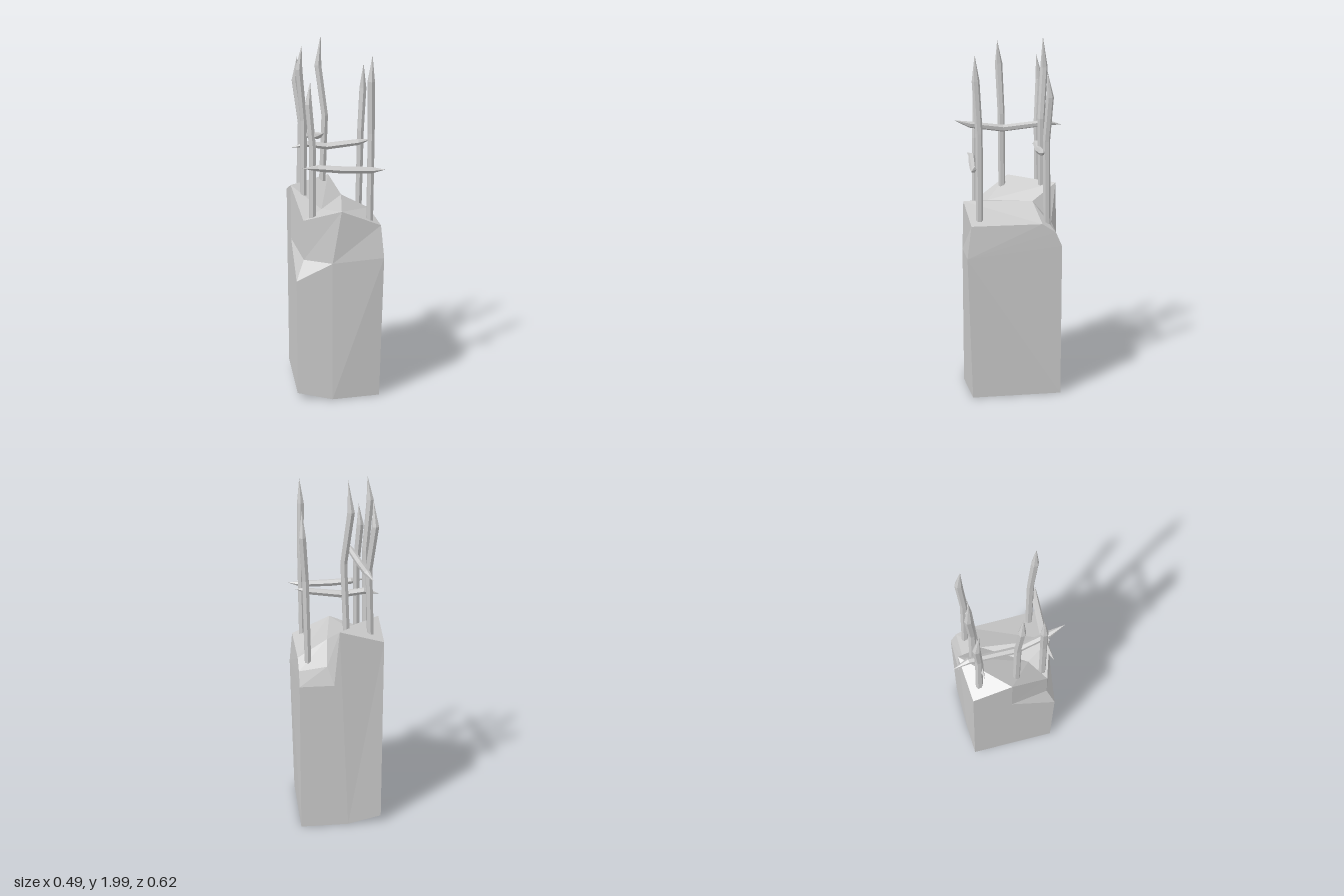
import * as THREE from 'three';

const material = new THREE.MeshStandardMaterial({ color: 0xcccccc, flatShading: true });

// Corners of the broken concrete pillar
const corners = {
  // base
  b0: [-0.245, 0.04, 0.25], b1: [-0.05, 0, 0.275], b2: [0.22, 0, 0.25],
  b3: [0.22, 0, -0.25], b4: [-0.05, 0, -0.25], b5: [-0.24, 0.04, -0.245],
  // shoulder and chipped front corner
  m0: [-0.245, 0.7, 0.25], m1: [-0.05, 0.8, 0.275], m2: [0.235, 0.82, 0.275],
  side: [-0.245, 0.87, -0.01], notch: [-0.2, 0.81, 0.21],
  // front half of the broken top
  t0: [-0.2, 1.03, 0.205], ridge: [0, 1.09, 0.272], tR: [0.22, 1, 0.25],
  valley: [-0.09, 1.07, 0.125], step: [0.055, 1.09, -0.11],
  // raised back corner
  peakBack: [0, 1.18, -0.25], backCorner: [-0.245, 1.105, -0.23], peakSide: [-0.245, 1.18, -0.01],
  // low ledge at the other back corner
  l0: [0.22, 1, -0.14], l1: [0.22, 0.95, -0.215], l2: [0.065, 0.97, -0.215],
  l3: [0.22, 0.87, -0.25], crack: [0.03, 0.87, -0.25],
};

// Each face is a polygon, cut into a fan from its first corner
const faces = [
  // front
  'b0 b1 m1 m0', 'b1 b2 m2 m1', 'm1 m2 tR ridge', 'm0 m1 notch', 'notch m1 ridge t0',
  // +x side
  'm2 b2 b3 l3 l1 l0 tR',
  // back
  'b3 b4 crack l3', 'b4 b5 backCorner peakBack', 'b4 peakBack crack', 'l3 crack l2 l1',
  // -x side and chip
  'side peakSide backCorner b5 b0 m0', 'side m0 notch', 'side notch t0 peakSide',
  // broken top
  'step l0 l1 l2', 'peakBack step l2 crack', 'backCorner peakSide peakBack',
  'peakSide t0 valley', 'peakSide valley peakBack', 'valley step peakBack',
  't0 ridge valley', 'valley ridge step', 'ridge tR l0 step',
  // underside
  'b0 b5 b4 b1', 'b1 b4 b3 b2',
];

function pillarGeometry() {
  const positions = [];
  for (const face of faces) {
    const p = face.split(' ').map((name) => corners[name]);
    for (let i = 1; i < p.length - 1; i++) positions.push(...p[0], ...p[i], ...p[i + 1]);
  }
  const geometry = new THREE.BufferGeometry();
  geometry.setAttribute('position', new THREE.Float32BufferAttribute(positions, 3));
  geometry.computeVertexNormals();
  return geometry;
}

// Bent six-sided bar through the points; listed radii give it pointed ends
function bar(name, points, radii) {
  const path = points.map((p) => new THREE.Vector3(...p));
  const n = path.length - 1;
  const axis = path[n].clone().sub(path[0]).normalize();
  const turn = new THREE.Quaternion().setFromUnitVectors(new THREE.Vector3(0, 1, 0), axis);
  const geometry = new THREE.CylinderGeometry(1, 1, 1, 6, n, true);
  const pos = geometry.attributes.position;
  const v = new THREE.Vector3();
  for (let i = 0; i < pos.count; i++) {
    const k = n - Math.floor(i / 7);
    v.fromBufferAttribute(pos, i).setY(0).multiplyScalar(radii[k]).applyQuaternion(turn).add(path[k]);
    pos.setXYZ(i, v.x, v.y, v.z);
  }
  geometry.computeVertexNormals();
  const mesh = new THREE.Mesh(geometry, material);
  mesh.name = name;
  return mesh;
}

export function createModel() {
  const group = new THREE.Group();
  group.name = 'brokenPillar';

  const pillar = new THREE.Mesh(pillarGeometry(), material);
  pillar.name = 'concretePillar';
  group.add(pillar);

  // Upright bars: foot, bend, start of the point, tip
  const uprights = [
    [[-0.18, 1.0, -0.18], [-0.165, 1.5, -0.17], [-0.195, 1.74, -0.185], [-0.185, 1.88, -0.165]],
    [[-0.05, 1.0, -0.18], [-0.03, 1.54, -0.17], [-0.065, 1.82, -0.19], [-0.05, 1.99, -0.18]],
    [[0.165, 0.9, -0.175], [0.175, 1.45, -0.165], [0.19, 1.69, -0.18], [0.19, 1.83, -0.165]],
    [[-0.18, 1.0, 0.03], [-0.175, 1.55, 0.035], [-0.2, 1.83, 0.045], [-0.185, 1.96, 0.055]],
    [[-0.15, 0.95, 0.19], [-0.145, 1.42, 0.185], [-0.165, 1.66, 0.175], [-0.155, 1.78, 0.175]],
    [[0.165, 0.95, 0.2], [0.17, 1.5, 0.2], [0.165, 1.78, 0.215], [0.17, 1.92, 0.22]],
  ];
  for (const points of uprights) group.add(bar('uprightBar', points, [0.02, 0.02, 0.021, 0]));

  // Cross bars, pointed at both ends
  const cross = [0, 0.018, 0.02, 0.018, 0];
  group.add(bar('backCrossBar', [
    [-0.225, 1.36, -0.155], [-0.14, 1.38, -0.16], [-0.02, 1.365, -0.155],
    [0.16, 1.385, -0.145], [0.235, 1.4, -0.14]], cross));
  group.add(bar('frontCrossBar', [
    [-0.205, 1.325, 0.23], [-0.12, 1.32, 0.21], [0, 1.31, 0.22],
    [0.17, 1.305, 0.232], [0.24, 1.31, 0.25]], cross));
  group.add(bar('sideCrossBar', [
    [-0.17, 1.48, -0.31], [-0.15, 1.495, -0.22], [-0.148, 1.47, 0.03],
    [-0.118, 1.5, 0.22], [-0.1, 1.53, 0.31]], cross));

  return group;
}
